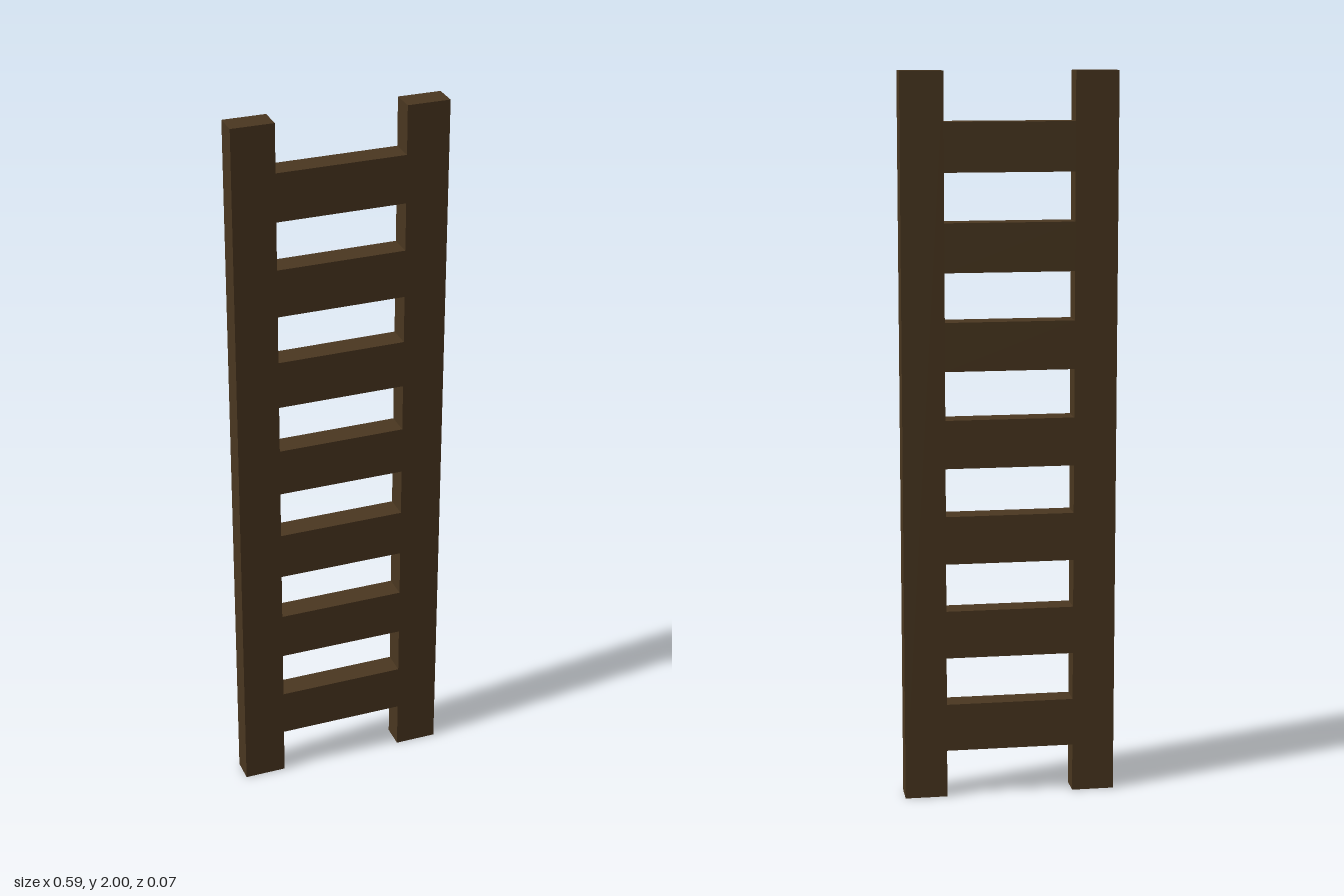
import * as THREE from 'three';

const HEIGHT = 2;
const DEPTH = 0.067;
const OUTER = 0.294; // half width of the ladder
const INNER = 0.177; // half width of the opening
const RUNGS = 7;

export function createModel() {
  const ladder = new THREE.Group();
  ladder.name = 'ladder';
  const wood = new THREE.MeshStandardMaterial({ color: 0x4a3720 });

  const addPlank = (name, width, height, x, y) => {
    const plank = new THREE.Mesh(new THREE.BoxGeometry(width, height, DEPTH), wood);
    plank.name = name;
    plank.position.set(x, y, 0);
    ladder.add(plank);
  };

  // Upright rails
  for (const [name, side] of [['leftRail', 1], ['rightRail', -1]]) {
    addPlank(name, OUTER - INNER, HEIGHT, side * (OUTER + INNER) / 2, HEIGHT / 2);
  }

  // Flat rungs, flush with the rails and spaced one rung height apart
  const unit = HEIGHT / (2 * RUNGS + 1);
  for (let i = 0; i < RUNGS; i++) {
    addPlank(`rung${i + 1}`, INNER * 2, unit, 0, unit * (2 * i + 1.5));
  }

  return ladder;
}
